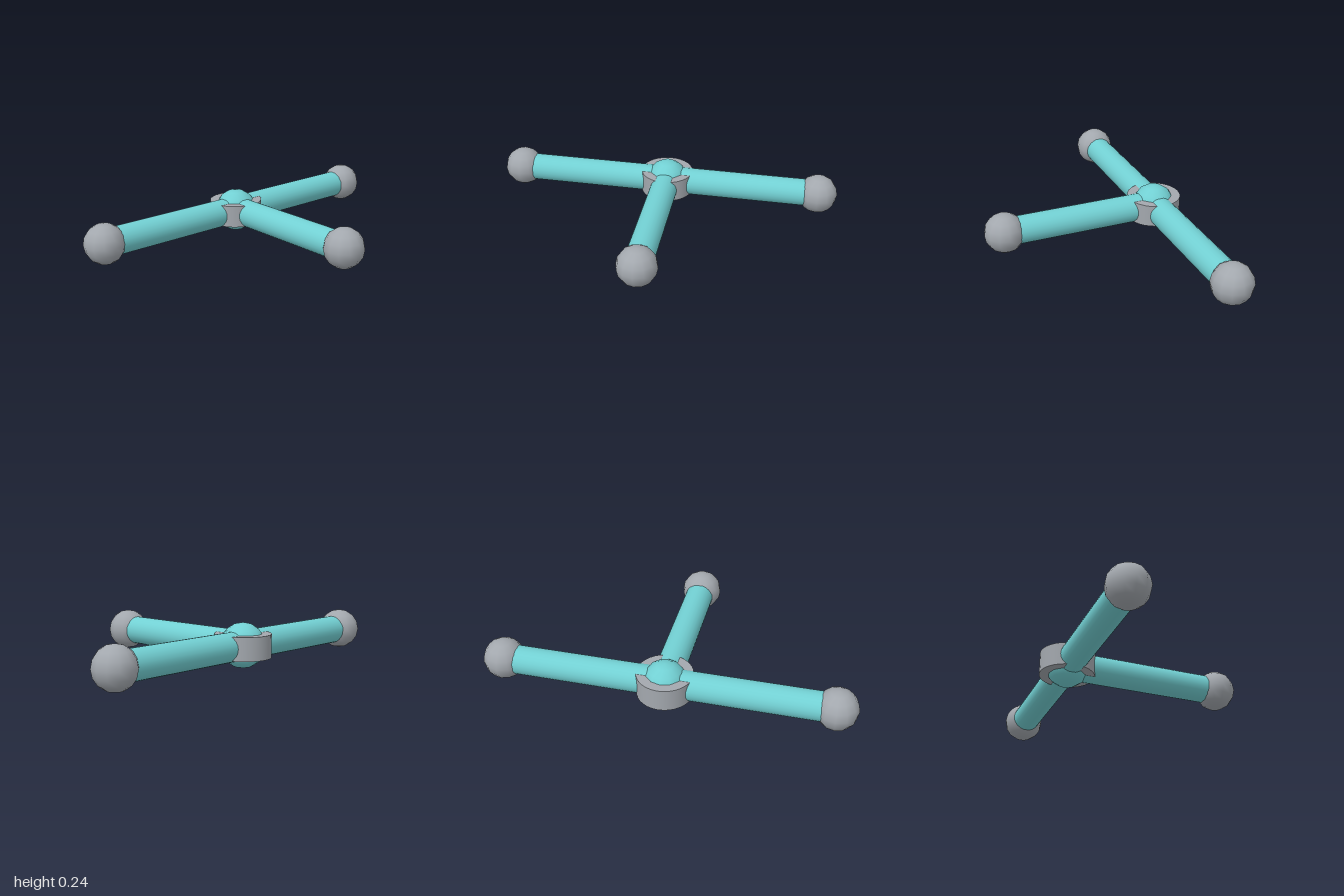
import * as THREE from 'three';

export function createModel() {
  const model = new THREE.Group();
  const teal = new THREE.MeshStandardMaterial({ color: 0x72d0d3 });
  teal.name = 'teal';
  const grey = new THREE.MeshStandardMaterial({ color: 0xa3a8ae });
  grey.name = 'grey';

  const Y = 0.121, Z = -0.425, ARM = 0.888; // hub centre and arm length

  const add = (name, geometry, material, parent) => {
    const mesh = new THREE.Mesh(geometry, material);
    mesh.name = name;
    parent.add(mesh);
    return mesh;
  };

  const joint = new THREE.Group();
  joint.name = 'joint';
  joint.position.set(0, Y, Z);
  model.add(joint);

  // Hub: ball poking through a flat collar
  add('hubBall', new THREE.SphereGeometry(0.121, 12, 8), teal, joint);
  add('hubCollar', new THREE.CylinderGeometry(0.15, 0.15, 0.125, 32), grey, joint);

  // Three arms, each a tube ending in a ball
  const tube = new THREE.CylinderGeometry(0.078, 0.078, ARM, 24);
  tube.rotateX(Math.PI / 2).translate(0, 0, ARM / 2);
  const ball = new THREE.SphereGeometry(0.112, 12, 8);
  [['left', Math.PI / 2], ['right', -Math.PI / 2], ['front', 0]].forEach(([side, angle]) => {
    const arm = new THREE.Group();
    arm.name = side + 'Arm';
    arm.rotation.y = angle;
    joint.add(arm);
    add(side + 'Tube', tube, teal, arm);
    add(side + 'EndBall', ball, grey, arm).position.z = ARM;
  });

  return model;
}
